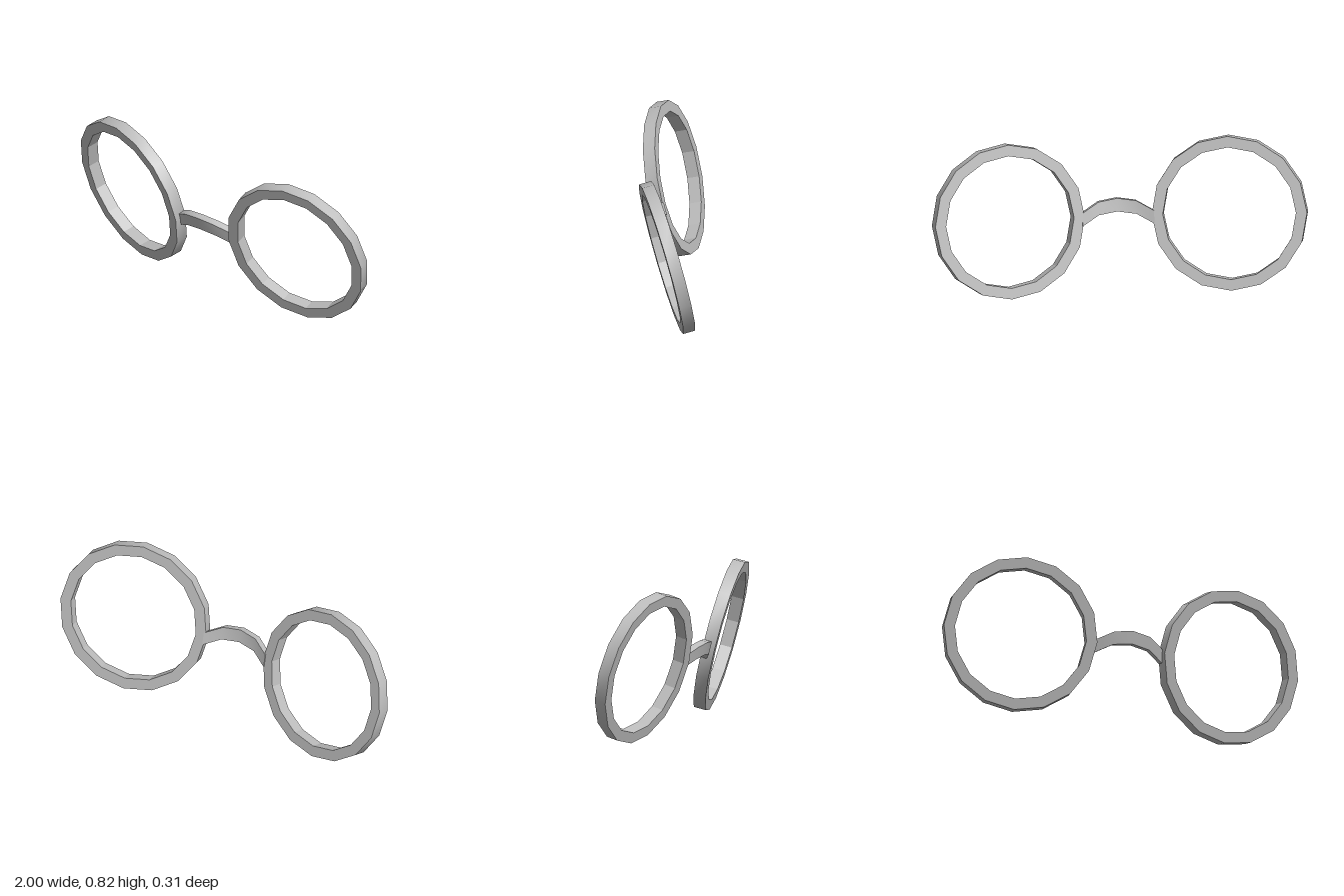
import * as THREE from 'three';
import { mergeGeometries, toCreasedNormals } from 'three/addons/utils/BufferGeometryUtils.js';

const SIDES = 16, OUTER = 0.412, INNER = 0.353, HALF_DEPTH = 0.033;

// Rim with a rectangular section: smooth outside, faceted inside
function rimGeometry() {
  const h = HALF_DEPTH;
  const band = (pts, crease) => toCreasedNormals(
    new THREE.LatheGeometry(pts.map(([r, y]) => new THREE.Vector2(r, y)), SIDES), crease);
  const geo = mergeGeometries([
    band([[OUTER, -h], [OUTER, h]], 0.5),
    band([[OUTER, h], [INNER, h]], 0.1),
    band([[INNER, h], [INNER, -h]], 0.1),
    band([[INNER, -h], [OUTER, -h]], 0.1),
  ]);
  return geo.rotateX(Math.PI / 2);
}

// Arched bar lofted through leaning rectangular sections
function bridgeGeometry() {
  const half = [[0.19, 0.381, 0.053], [0.1, 0.422, 0.1], [0, 0.434, 0.114]];
  const path = [...half.map(([x, y, z]) => [-x, y, z]),
    ...half.slice(0, 2).reverse()];
  const corners = [[-1, -1], [1, -1], [1, 1], [-1, 1]];
  const positions = [], index = [];
  path.forEach(([x, y, z]) => corners.forEach(([u, f]) => positions.push(
    x, y + u * 0.034 - f * 0.005, z + u * 0.0085 + f * 0.02)));
  for (let j = 0; j < path.length - 1; j++) {
    for (let k = 0; k < 4; k++) {
      const a = j * 4 + k, b = j * 4 + (k + 1) % 4;
      index.push(a, b, b + 4, a, b + 4, a + 4);
    }
  }
  const e = (path.length - 1) * 4;
  index.push(0, 3, 2, 0, 2, 1, e, e + 1, e + 2, e, e + 2, e + 3);
  const geo = new THREE.BufferGeometry();
  geo.setAttribute('position', new THREE.Float32BufferAttribute(positions, 3));
  geo.setIndex(index);
  return toCreasedNormals(geo, 0.5);
}

export function createModel() {
  const group = new THREE.Group();
  group.name = 'glassesFrame';
  const metal = new THREE.MeshStandardMaterial({ color: 0xbcbcbc });
  metal.name = 'grey metal';

  // Two rims, leaning forward at the top and swept back at the outer ends
  const rim = rimGeometry();
  for (const [name, side] of [['leftRim', 1], ['rightRim', -1]]) {
    const mesh = new THREE.Mesh(rim, metal);
    mesh.name = name;
    mesh.position.set(side * 0.588, 0.408, 0);
    mesh.rotation.set(0.245, side * 0.19, 0);
    group.add(mesh);
  }

  // Nose bridge
  const bridge = new THREE.Mesh(bridgeGeometry(), metal);
  bridge.name = 'noseBridge';
  group.add(bridge);
  return group;
}
